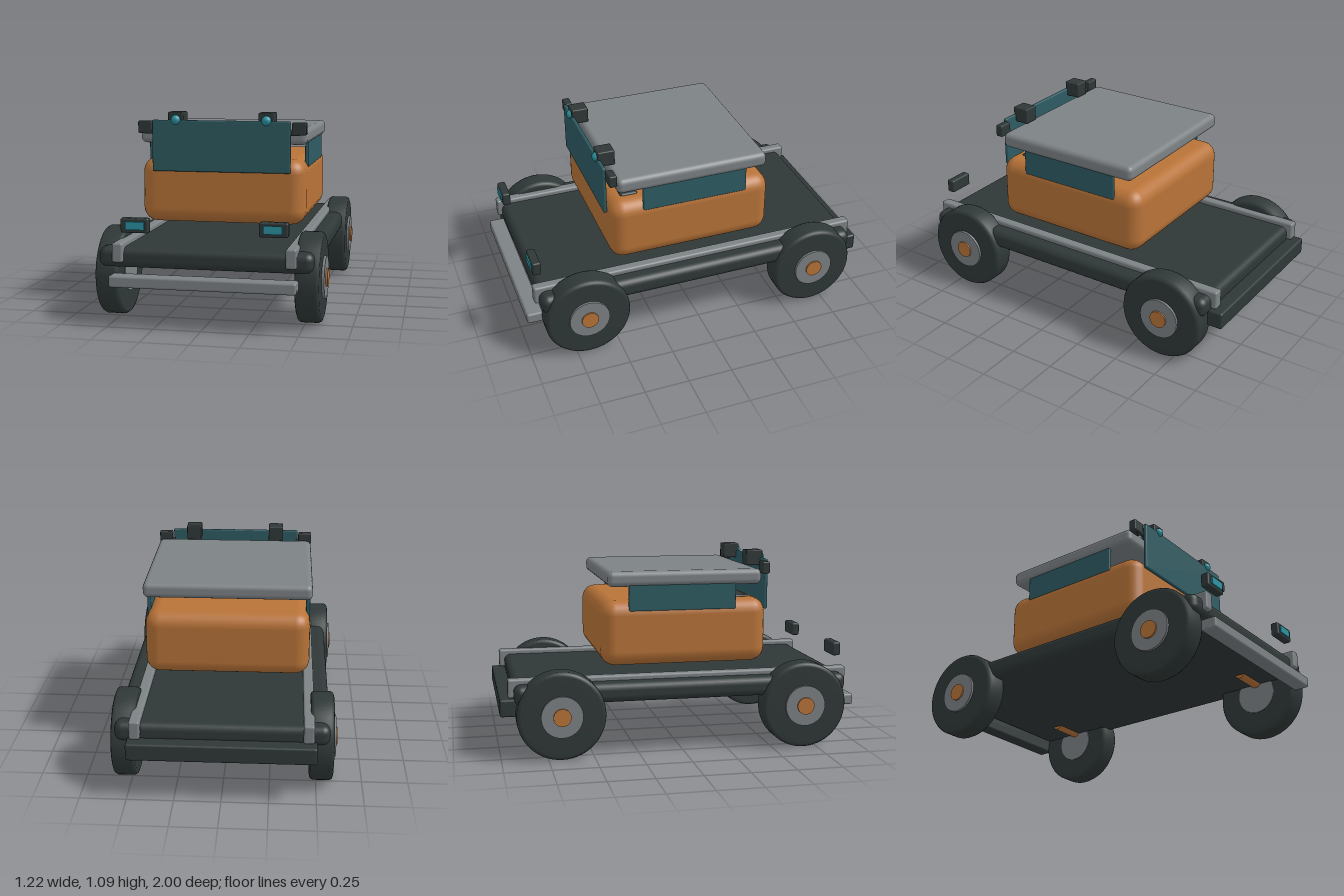
import * as THREE from 'three';
import { RoundedBoxGeometry } from 'three/addons/geometries/RoundedBoxGeometry.js';

const material = (name, color) => {
  const m = new THREE.MeshStandardMaterial({ color });
  m.name = name;
  return m;
};

export function createModel() {
  const dark = material('charcoal', 0x2f3837);
  const grey = material('steel grey', 0x7d8285);
  const orange = material('copper orange', 0xb87338);
  const glass = material('dark teal glass', 0x2d5b62);
  const teal = material('bright teal', 0x2a93a2);

  const car = new THREE.Group();
  car.name = 'truck';

  const add = (name, geometry, mat, x = 0, y = 0, z = 0) => {
    const mesh = new THREE.Mesh(geometry, mat);
    mesh.name = name;
    mesh.position.set(x, y, z);
    car.add(mesh);
    return mesh;
  };
  // Rounded block given by its extents along each axis
  const block = (name, mat, [x0, x1], [y0, y1], [z0, z1], r) =>
    add(name, new RoundedBoxGeometry(x1 - x0, y1 - y0, z1 - z0, 3, r), mat,
      (x0 + x1) / 2, (y0 + y1) / 2, (z0 + z1) / 2);
  // The same block on the left (s = 1) or right (s = -1)
  const sideBlock = (s, name, mat, [x0, x1], y, z, r) =>
    block(name, mat, s > 0 ? [x0, x1] : [-x1, -x0], y, z, r);
  // Cylinder lying along x
  const rod = (name, mat, r, x0, x1, y, z) =>
    add(name, new THREE.CylinderGeometry(r, r, Math.abs(x1 - x0), 40).rotateZ(Math.PI / 2),
      mat, (x0 + x1) / 2, y, z);

  // Chassis and bumpers
  block('chassis', dark, [-0.565, 0.565], [0.302, 0.41], [-0.925, 0.925], 0.04);
  block('frontBumper', grey, [-0.488, 0.488], [0.213, 0.274], [0.91, 1], 0.012);
  block('rearBumper', dark, [-0.498, 0.498], [0.235, 0.33], [-1, -0.91], 0.012);

  // Cabin, dashboard and roof
  block('cabin', orange, [-0.457, 0.457], [0.475, 0.836], [-0.44, 0.49], 0.08);
  block('dashboard', dark, [-0.36, 0.36], [0.79, 0.846], [0.31, 0.41], 0.015);
  block('roof', grey, [-0.465, 0.465], [0.915, 1], [-0.406, 0.455], 0.03);
  block('windshield', glass, [-0.383, 0.383], [0.765, 1.046], [0.492, 0.513], 0.008);

  // Tyre cross-section: radius, position across the width
  const tyreProfile = [[0.10, -0.063], [0.218, -0.063], [0.232, -0.058], [0.24, -0.044],
    [0.24, 0.044], [0.232, 0.058], [0.218, 0.063], [0.10, 0.063]]
    .map(([r, h]) => new THREE.Vector2(r, h));
  const tyre = new THREE.LatheGeometry(tyreProfile, 56).rotateZ(-Math.PI / 2);

  for (const s of [1, -1]) {
    // Frame rails and side windows
    sideBlock(s, 'frameRail', grey, [0.425, 0.483], [0.334, 0.437], [-0.955, 0.95], 0.012);
    sideBlock(s, 'sideWindow', glass, [0.434, 0.455], [0.78, 0.93], [-0.29, 0.31], 0.008);

    // Headlights
    sideBlock(s, 'headlightHousing', dark, [0.288, 0.437], [0.49, 0.567], [0.89, 0.937], 0.01);
    add('headlightLens', new THREE.BoxGeometry(0.098, 0.042, 0.009), teal, s * 0.359, 0.529, 0.9395);

    // Roof lamps
    sideBlock(s, 'roofLampHousing', dark, [0.207, 0.294], [1.003, 1.09], [0.413, 0.508], 0.007);
    add('roofLampLens', new THREE.SphereGeometry(0.027, 24, 16), teal, s * 0.251, 1.047, 0.503);

    // Mirrors
    sideBlock(s, 'mirror', dark, [0.388, 0.467], [0.972, 1.039], [0.457, 0.5], 0.008);
    rod('mirrorArm', dark, 0.014, s * 0.375, s * 0.43, 0.982, 0.485);

    // Wheels with hubs, caps and axle stubs
    for (const z of [0.677, -0.677]) {
      add('tyre', tyre, dark, s * 0.5265, 0.245, z);
      rod('wheelHub', grey, 0.113, s * 0.46, s * 0.603, 0.245, z);
      rod('hubCap', orange, 0.048, s * 0.59, s * 0.612, 0.245, z);
      rod('axleStub', orange, 0.035, s * 0.28, s * 0.48, 0.319, z);
    }
  }
  return car;
}
